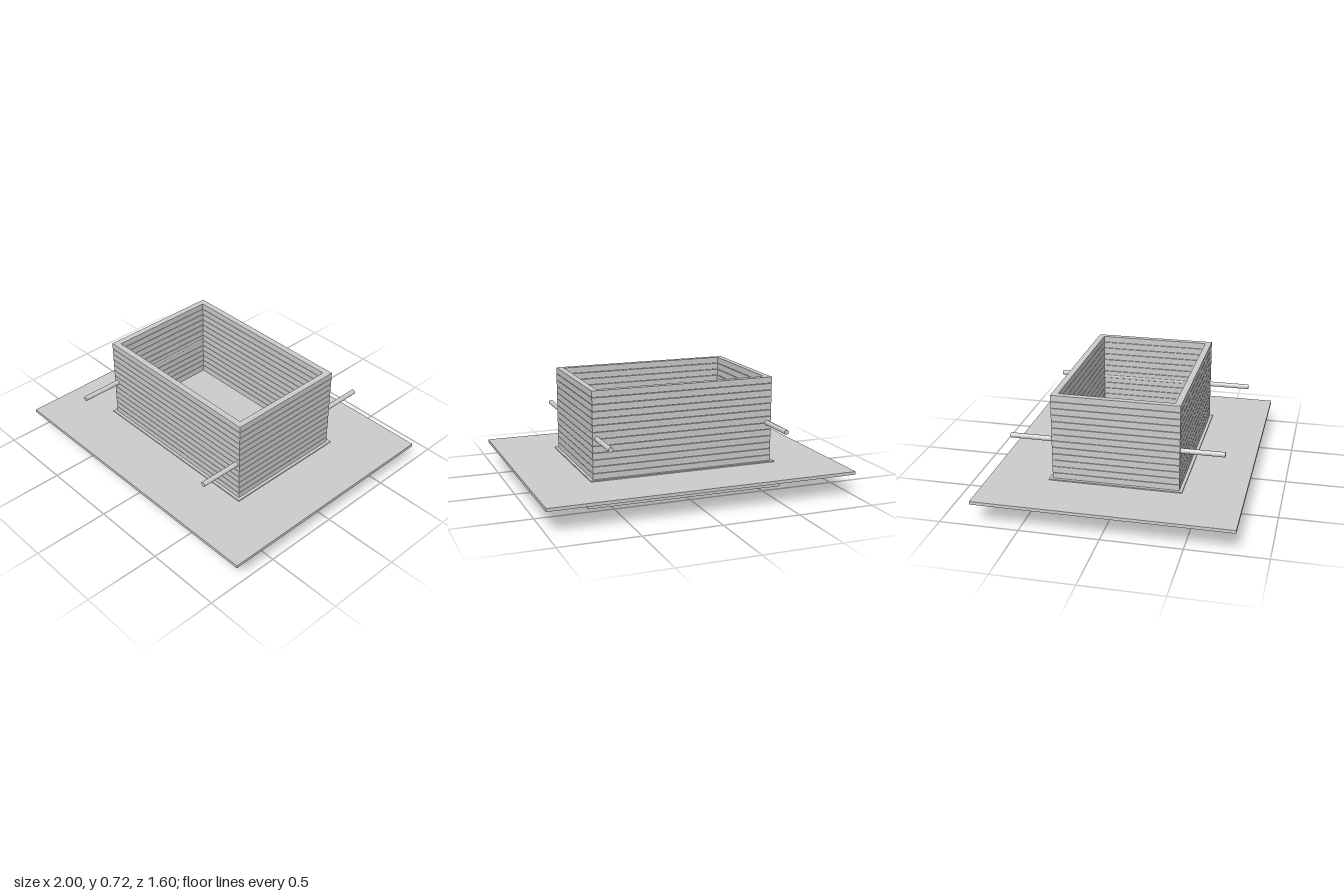
import * as THREE from 'three';

export function createModel() {
  const model = new THREE.Group();
  const mat = new THREE.MeshStandardMaterial({ color: 0xcccccc, flatShading: true });

  const add = (parent, name, geometry, x, y, z) => {
    const mesh = new THREE.Mesh(geometry, mat);
    mesh.name = name;
    mesh.position.set(x, y, z);
    parent.add(mesh);
    return mesh;
  };
  // box centred on x and z, from height y0 to y1
  const slab = (name, w, d, y0, y1, z = 0) =>
    add(model, name, new THREE.BoxGeometry(w, y1 - y0, d), 0, (y0 + y1) / 2, z);

  // rectangular ring lying flat, outer half sizes a x b, given wall thickness
  const ring = (a, b, wall, height) => {
    const rect = (P, p, q) => new P([
      new THREE.Vector2(-p, -q), new THREE.Vector2(p, -q),
      new THREE.Vector2(p, q), new THREE.Vector2(-p, q)]);
    const shape = rect(THREE.Shape, a, b);
    shape.holes.push(rect(THREE.Path, a - wall, b - wall));
    return new THREE.ExtrudeGeometry(shape, { depth: height, bevelEnabled: false }).rotateX(-Math.PI / 2);
  };

  // stepped foundation with cross beams that stick out at the sides
  slab('lowerFooting', 1.3, 0.9, 0, 0.07);
  slab('upperFooting', 1.26, 0.86, 0.07, 0.12);
  for (const s of [-1, 1]) slab('crossBeam', 1.32, 0.1, 0.002, 0.14, s * 0.35);

  // ground plate
  slab('groundPlate', 2, 1.6, 0.14, 0.16);

  // thin trim around the foot of the walls
  add(model, 'baseTrim', ring(0.62, 0.42, 0.06, 0.007), 0, 0.16, 0);

  // walls: stacked plank courses with narrow gaps
  const walls = new THREE.Group();
  walls.name = 'plankWalls';
  model.add(walls);
  const courses = 13, pitch = 0.0431, gap = 0.003;
  const course = ring(0.6, 0.4, 0.04, pitch - gap);
  for (let i = 0; i < courses; i++) add(walls, 'plankCourse', course, 0, 0.163 + i * pitch, 0);

  // carrying rods running through the side walls
  const rod = new THREE.CylinderGeometry(0.016, 0.016, 1.34, 12).rotateX(Math.PI / 2);
  for (const s of [-1, 1]) add(model, 'carryingRod', rod, s * 0.572, 0.422, 0);

  return model;
}
